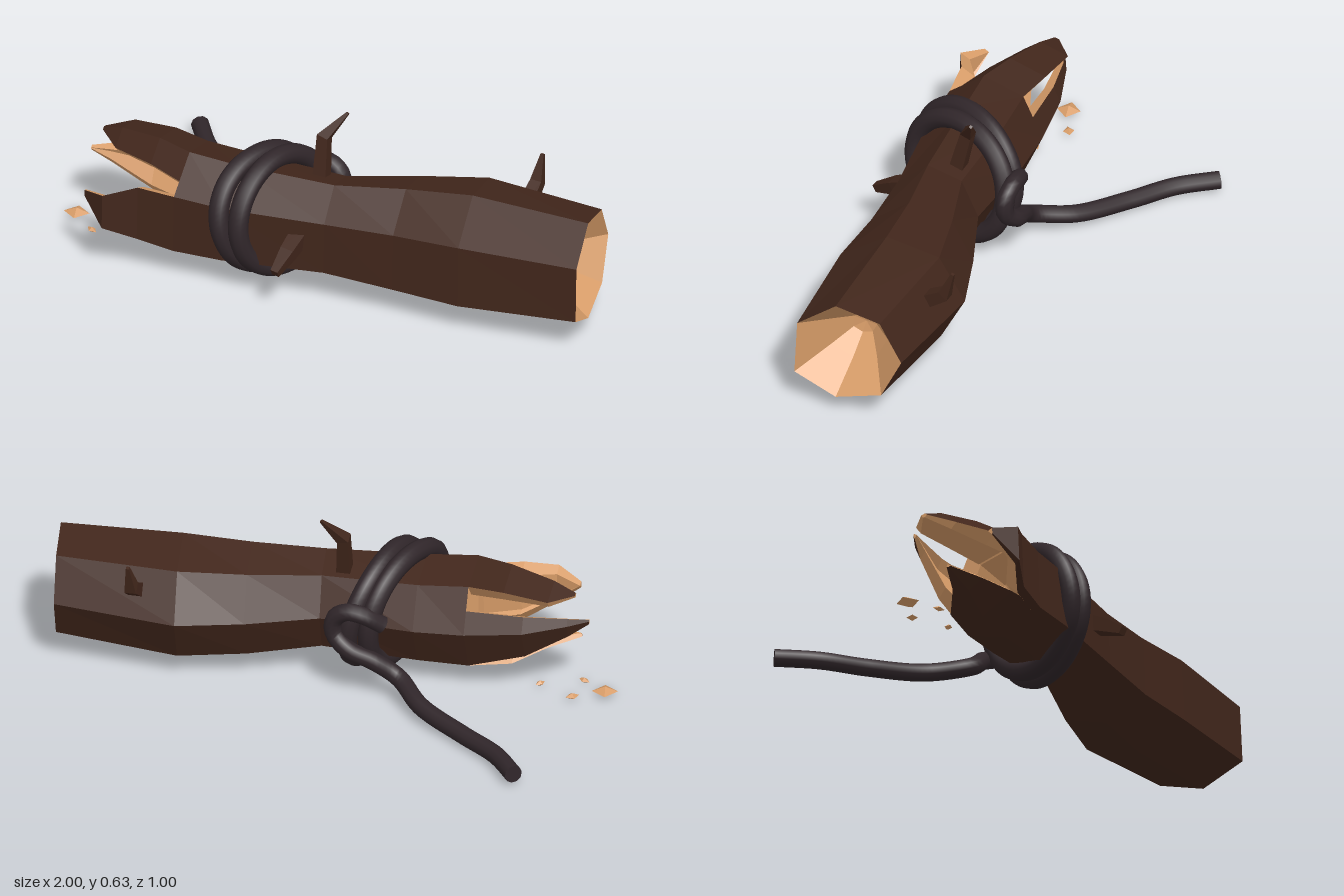
import * as THREE from 'three';

const mat = (color, flatShading = true) =>
  new THREE.MeshStandardMaterial({ color, flatShading, side: THREE.DoubleSide });
const V = (x, y, z) => new THREE.Vector3(x, y, z);

// Skin a list of rows of points; closed joins the end of each row to its start
function skin(rows, closed) {
  const pos = [];
  const tri = (a, b, c) => {
    if (a.distanceTo(b) < 1e-5 || b.distanceTo(c) < 1e-5 || c.distanceTo(a) < 1e-5) return;
    for (const p of [a, b, c]) pos.push(p.x, p.y, p.z);
  };
  for (let r = 0; r + 1 < rows.length; r++) {
    const n = rows[r].length;
    for (let i = 0; i < (closed ? n : n - 1); i++) {
      const j = (i + 1) % n;
      tri(rows[r][i], rows[r][j], rows[r + 1][j]);
      tri(rows[r][i], rows[r + 1][j], rows[r + 1][i]);
    }
  }
  const geo = new THREE.BufferGeometry();
  geo.setAttribute('position', new THREE.Float32BufferAttribute(pos, 3));
  geo.computeVertexNormals();
  return geo;
}

// Seven-sided trunk section as [z, y] offsets, starting at the top, going round the back
const SECTION = [[0.04, 0.19], [-0.12, 0.15], [-0.198, 0], [-0.125, -0.155],
  [0.04, -0.2], [0.19, -0.125], [0.18, 0.085]];
// Trunk stations: x, centre z, centre y, scale z, scale y, slant
const STATIONS = [
  [0.975, 0.105, 0.267, 1, 1, 0.13],
  [0.54, 0.11, 0.257, 1.2, 1.1, 0.12],
  [0.3, 0.148, 0.25, 0.99, 1.03, 0.1],
  [0.05, 0.206, 0.25, 0.78, 0.92, 0.1],
  [-0.3, 0.23, 0.246, 0.95, 0.98, 0],
  [-0.48, 0.24, 0.25, 0.95, 1.03, 0],
];
const ring = ([x, cz, cy, sz, sy, slant], k = 1, dx = 0, dz = 0) => SECTION.map(([z, y]) =>
  V(x + dx + slant * z * sz * k, cy + y * sy * k, cz + dz + z * sz * k));
// Point on a ring at a fractional corner number
const at = (points, t) => {
  const i = Math.floor(t), n = points.length;
  return points[i % n].clone().lerp(points[(i + 1) % n], t - i);
};

export function createModel() {
  const group = new THREE.Group();
  const bark = mat(0x41261b), wood = mat(0xd79c68), cord = mat(0x30262a, false);
  const add = (name, geo, material, parent = group) => {
    const m = new THREE.Mesh(geo, material);
    m.name = name;
    parent.add(m);
    return m;
  };

  // Trunk bark and the hollowed wood at both ends
  const first = STATIONS[0], last = STATIONS[STATIONS.length - 1];
  add('trunkBark', skin(STATIONS.map((s) => ring(s)), true), bark);
  add('hollowEnd', skin([ring(first, 0, -0.2, 0.02), ring(first, 0.22, -0.19, 0.02),
    ring(first, 0.52, -0.12, 0.01), ring(first)], true), wood);
  add('brokenEnd', skin([ring(last), ring(last, 0.7, 0.02), ring(last, 0.4, 0.12),
    ring(last, 0, 0.15)], true), wood);

  // Splinters: run of section corners, then [x, y, z, width, thickness] per step to the tip
  const base = ring(last), inner = ring(last, 0.66);
  const splinters = [
    ['topSplinter', [6.35, 7, 8], [[-0.61, 0.415, 0.22, 0.9, 0.9],
      [-0.77, 0.4, 0.185, 0.7, 0.5], [-0.85, 0.395, 0.18, 0.1, 0.2]]],
    ['backSplinter', [1.5, 2, 3], [[-0.68, 0.245, 0.105, 0.72, 0.7],
      [-0.83, 0.28, 0.14, 0.32, 0.5], [-0.9, 0.295, 0.17, 0.08, 0.2]]],
    ['bottomSplinter', [3, 4, 5], [[-0.63, 0.1, 0.275, 0.85, 0.7],
      [-0.74, 0.135, 0.29, 0.42, 0.5], [-0.85, 0.17, 0.28, 0.05, 0.2]]],
    ['frontSplinter', [4.8, 5, 6], [[-0.61, 0.21, 0.425, 0.95, 0.9],
      [-0.72, 0.232, 0.482, 0.6, 0.6], [-0.81, 0.28, 0.435, 0.1, 0.3]]],
  ];
  for (const [name, ids, steps] of splinters) {
    const part = new THREE.Group();
    part.name = name;
    group.add(part);
    const outer0 = ids.map((t) => at(base, t)), inner0 = ids.map((t) => at(inner, t));
    const mid = outer0.reduce((a, p) => a.add(p), V(0, 0, 0)).divideScalar(ids.length);
    const outer = [outer0], thick = [inner0];
    for (const [x, y, z, w, t] of steps) {
      const o = outer0.map((p) => V(x, y + (p.y - mid.y) * w, z + (p.z - mid.z) * w));
      outer.push(o);
      thick.push(o.map((p, k) => p.clone().addScaledVector(
        inner0[k].clone().sub(outer0[k]), t)));
    }
    const cut = outer.map((o, r) => [o[o.length - 1], ...thick[r].slice().reverse(), o[0]]);
    add('splinterBark', skin(outer, false), bark, part);
    add('splinterWood', skin(cut, false), wood, part);
    // Blunt tip
    const e = outer.length - 1;
    add('splinterTip', skin([outer[e], thick[e]], false), wood, part);
  }

  // Branch stubs: four-sided tapering limbs through centre points with half widths
  const branch = (name, pts, widths) => {
    const rows = pts.map((p, i) => {
      const dir = V(...pts[Math.min(i + 1, pts.length - 1)])
        .sub(V(...pts[Math.max(i - 1, 0)])).normalize();
      const u = V(1, 0, 0).addScaledVector(dir, -dir.x).normalize();
      const v = dir.clone().cross(u);
      return [[1, 1], [-1, 1], [-1, -1], [1, -1]].map(([a, b]) => V(...p)
        .addScaledVector(u, a * widths[i]).addScaledVector(v, b * widths[i]));
    });
    const end = pts[pts.length - 1];
    rows.push(rows[0].map(() => V(...end)));
    add(name, skin(rows, true), bark);
  };
  branch('topBranch', [[-0.03, 0.39, 0.16], [-0.035, 0.54, 0.125], [0.035, 0.627, 0.08]],
    [0.025, 0.021, 0.005]);
  branch('frontBranch', [[-0.03, 0.26, 0.32], [-0.045, 0.22, 0.41], [-0.06, 0.178, 0.49]],
    [0.03, 0.025, 0.014]);
  branch('backBranch', [[0.66, 0.31, 0], [0.665, 0.39, -0.125], [0.67, 0.487, -0.157]],
    [0.028, 0.021, 0.006]);

  // Rope: two slanted loops lying side by side
  const tube = (name, pts, radius, closed) => {
    const curve = new THREE.CatmullRomCurve3(pts, closed);
    add(name, new THREE.TubeGeometry(curve, 64, radius, 10, closed), cord);
    return curve;
  };
  for (const side of [-1, 1]) {
    const pts = [];
    for (let i = 0; i < 16; i++) {
      const a = (i / 16) * Math.PI * 2;
      const y = 0.2 * Math.sin(a), z = 0.209 * Math.cos(a);
      pts.push(V(-0.19 - 0.35 * z - 0.16 * y + side * (0.035 + 0.006 * Math.sin(a * 2)),
        0.256 + y, 0.214 + z));
    }
    tube('ropeLoop', pts, 0.036, true);
  }
  // Knot crossing the loops at the back, running out into a tail along the ground
  const tail = tube('ropeTail', [V(-0.2, 0.28, 0.01), V(-0.14, 0.325, -0.02),
    V(-0.08, 0.335, -0.025), V(-0.035, 0.3, -0.02), V(-0.035, 0.24, -0.02),
    V(-0.09, 0.19, -0.035), V(-0.17, 0.15, -0.02), V(-0.26, 0.09, -0.01),
    V(-0.37, 0.055, -0.13), V(-0.55, 0.036, -0.255), V(-0.69, 0.035, -0.36),
    V(-0.785, 0.04, -0.485)], 0.032, false);
  const tailEnd = add('ropeTailEnd', new THREE.CircleGeometry(0.032, 10), cord);
  tailEnd.position.copy(tail.getPoint(1));
  tailEnd.lookAt(tail.getPoint(1).add(tail.getTangent(1)));

  // Wood chips on the ground: x, z, half sizes, turn
  const chips = [[-0.955, 0.18, 0.046, 0.018, 0.042, 0.2], [-0.85, 0.13, 0.026, 0.012, 0.02, 0.6],
    [-0.865, 0.25, 0.024, 0.01, 0.014, -0.5], [-0.72, 0.195, 0.02, 0.01, 0.014, 0.9]];
  for (const [x, z, a, b, c, turn] of chips) {
    const chip = add('woodChip', new THREE.OctahedronGeometry(1), wood);
    chip.scale.set(a, b, c);
    chip.rotation.y = turn;
    chip.position.set(x, b, z);
  }
  return group;
}
